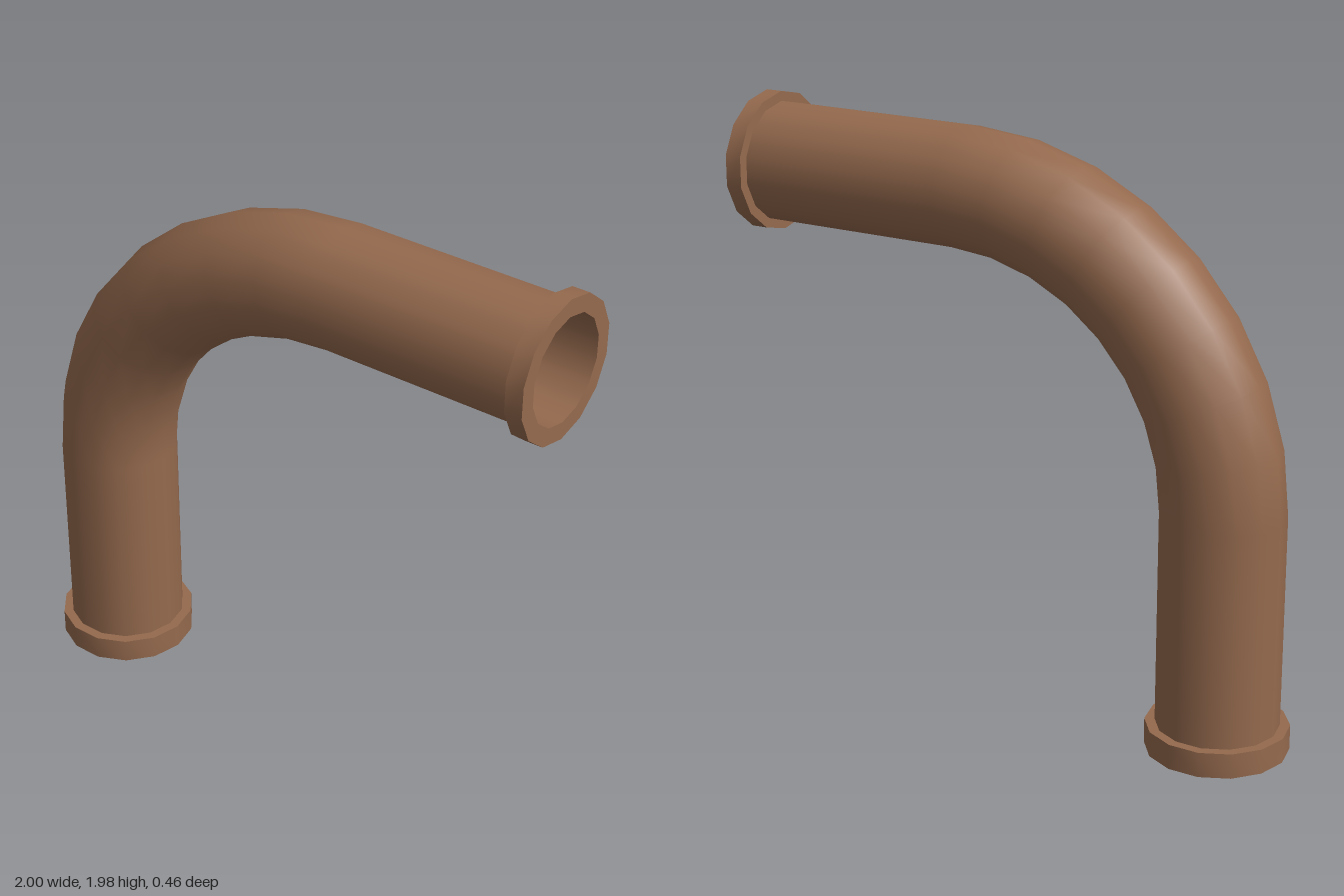
import * as THREE from 'three';
import { toCreasedNormals } from 'three/addons/utils/BufferGeometryUtils.js';

const SIDES = 14;
const OUTER = 0.203, BORE = 0.178, RIM = 0.2365;
const LEG_X = -0.7635, ARM_Y = 1.743;   // centre lines of the two straight runs
const BEND = { x: 0.2, y: 0.805, steps: 8 };

// Centre line: straight leg, quarter bend, straight arm
function pathStations() {
  const stations = [{ x: LEG_X, y: 0, angle: 0 }];
  for (let i = 0; i <= BEND.steps; i++) {
    const angle = (i / BEND.steps) * Math.PI / 2;
    stations.push({
      x: BEND.x - (BEND.x - LEG_X) * Math.cos(angle),
      y: BEND.y + (ARM_Y - BEND.y) * Math.sin(angle),
      angle,
    });
  }
  stations.push({ x: 1, y: ARM_Y, angle: Math.PI / 2 });
  return stations;
}

// Sweeps a round section along the path; inward flips it into a bore
function sweep(radius, inward) {
  const positions = [], normals = [], index = [];
  const stations = pathStations();
  const sign = inward ? -1 : 1;
  stations.forEach(({ x, y, angle }, i) => {
    for (let j = 0; j < SIDES; j++) {
      const a = (j / SIDES) * Math.PI * 2;
      const nx = -Math.cos(angle) * Math.cos(a);
      const ny = Math.sin(angle) * Math.cos(a);
      const nz = Math.sin(a);
      positions.push(x + radius * nx, y + radius * ny, radius * nz);
      normals.push(sign * nx, sign * ny, sign * nz);
      if (i === stations.length - 1) continue;
      const k = (j + 1) % SIDES;
      const A = i * SIDES + j, B = i * SIDES + k, C = A + SIDES, D = B + SIDES;
      if (inward) index.push(A, C, B, B, C, D);
      else index.push(A, B, C, B, D, C);
    }
  });
  const geometry = new THREE.BufferGeometry();
  geometry.setAttribute('position', new THREE.Float32BufferAttribute(positions, 3));
  geometry.setAttribute('normal', new THREE.Float32BufferAttribute(normals, 3));
  geometry.setIndex(index);
  return geometry;
}

// Flat-faced collar with its open end at y = 0
function collar(height) {
  const profile = [[BORE, 0], [RIM, 0], [RIM, height], [OUTER - 0.008, height]]
    .map(([r, y]) => new THREE.Vector2(r, y));
  return toCreasedNormals(new THREE.LatheGeometry(profile, SIDES, Math.PI / 2), 0.7);
}

export function createModel() {
  const group = new THREE.Group();
  group.name = 'bentPipe';
  const copper = new THREE.MeshStandardMaterial({ color: 0x956a4e });
  copper.name = 'copper brown';

  const add = (name, geometry) => {
    const mesh = new THREE.Mesh(geometry, copper);
    mesh.name = name;
    group.add(mesh);
    return mesh;
  };

  add('pipeOuterWall', sweep(OUTER, false));
  add('pipeBore', sweep(BORE, true));

  // Collars at both open ends
  add('bottomCollar', collar(0.085)).position.set(LEG_X, 0, 0);
  const endCollar = add('endCollar', collar(0.06));
  endCollar.position.set(1, ARM_Y, 0);
  endCollar.rotation.z = Math.PI / 2;

  return group;
}
